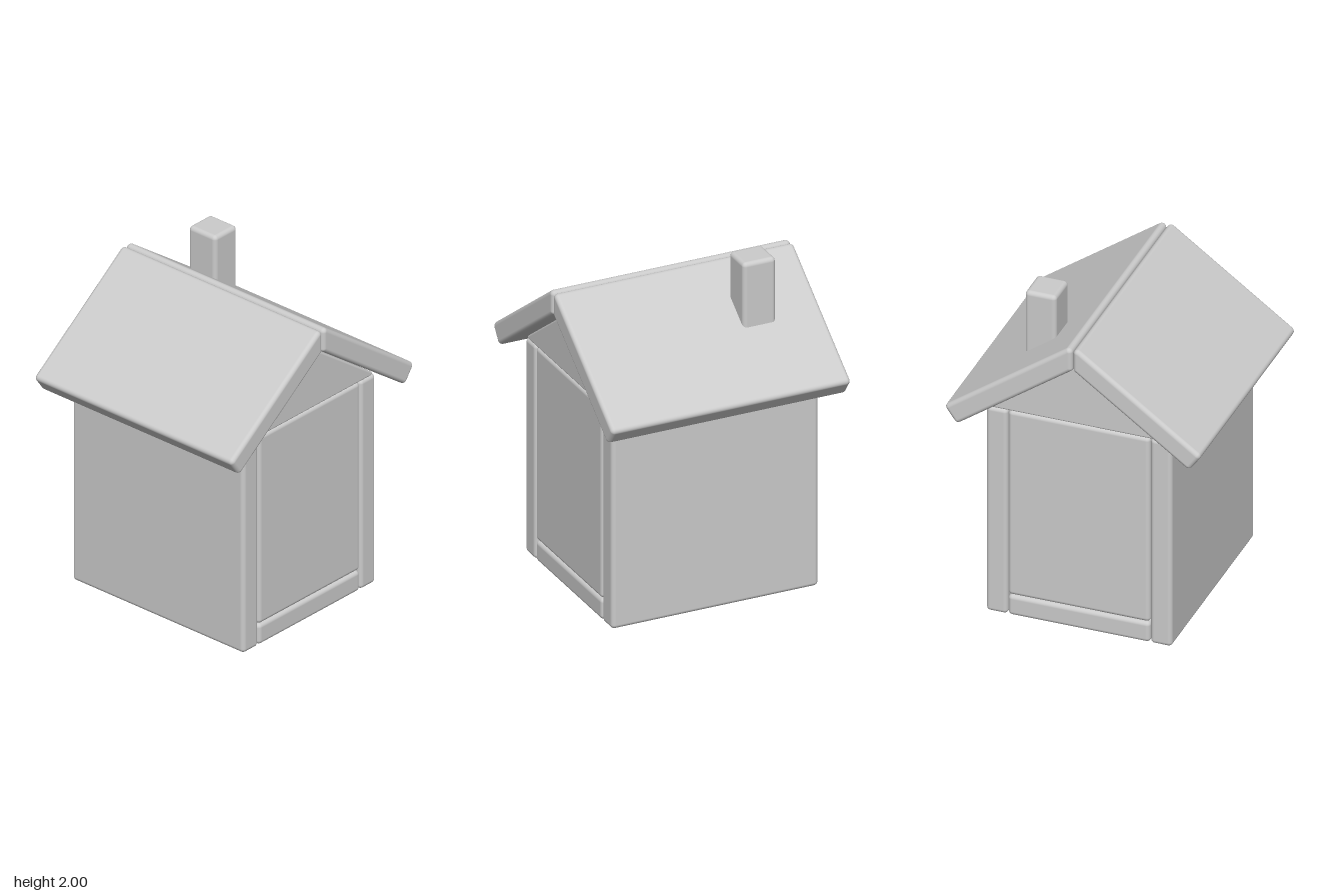
import * as THREE from 'three';
import { RoundedBoxGeometry } from 'three/addons/geometries/RoundedBoxGeometry.js';

const material = new THREE.MeshStandardMaterial({ color: 0xcccccc });

// Rounded box given by its [min, max] range on each axis
function box(name, [x0, x1], [y0, y1], [z0, z1], radius = 0.025) {
  const geometry = new RoundedBoxGeometry(x1 - x0, y1 - y0, z1 - z0, 4, radius);
  const mesh = new THREE.Mesh(geometry, material);
  mesh.position.set((x0 + x1) / 2, (y0 + y1) / 2, (z0 + z1) / 2);
  mesh.name = name;
  return mesh;
}

// Convex prism along x with all edges rounded; corners are counter-clockwise [z, y] pairs
function roundedPrism(name, corners, halfLength, r, steps = 5) {
  const points = corners.map(([u, v]) => new THREE.Vector2(u, v));
  const count = points.length;
  const normals = points.map((p, i) => {
    const e = points[(i + 1) % count].clone().sub(p).normalize();
    return new THREE.Vector2(e.y, -e.x);
  });

  // Outline: an arc of directions around each inset corner
  const outline = [];
  points.forEach((p, i) => {
    const n0 = normals[(i + count - 1) % count];
    const n1 = normals[i];
    const core = n0.clone().add(n1).multiplyScalar(-r / (1 + n0.dot(n1))).add(p);
    const turn = Math.acos(n0.dot(n1));
    for (let j = 0; j <= steps; j++) {
      const a = n0.angle() + (turn * j) / steps;
      outline.push({ core, dx: Math.cos(a), dy: Math.sin(a) });
    }
  });

  // Rings from one end to the other, rounded at both ends
  const position = [], normal = [], index = [];
  const m = outline.length;
  const rings = 2 * (steps + 1);
  for (let k = 0; k < rings; k++) {
    const far = k > steps;
    const phi = ((far ? k - steps - 1 : k - steps) / steps) * Math.PI / 2;
    const c = Math.cos(phi), s = Math.sin(phi);
    const z = (far ? 1 : -1) * (halfLength - r) + r * s;
    for (const { core, dx, dy } of outline) {
      position.push(core.x + r * c * dx, core.y + r * c * dy, z);
      normal.push(c * dx, c * dy, s);
    }
  }
  for (let k = 0; k < rings - 1; k++) {
    for (let i = 0; i < m; i++) {
      const a = k * m + i, b = k * m + ((i + 1) % m);
      index.push(a, b, b + m, a, b + m, a + m);
    }
  }
  // Flat end caps
  const last = (rings - 1) * m;
  for (let i = 1; i < m - 1; i++) {
    index.push(0, i + 1, i, last, last + i, last + i + 1);
  }

  const geometry = new THREE.BufferGeometry();
  geometry.setAttribute('position', new THREE.Float32BufferAttribute(position, 3));
  geometry.setAttribute('normal', new THREE.Float32BufferAttribute(normal, 3));
  geometry.setIndex(index);
  geometry.rotateY(-Math.PI / 2);
  const mesh = new THREE.Mesh(geometry, material);
  mesh.name = name;
  return mesh;
}

export function createModel() {
  const house = new THREE.Group();
  house.name = 'house';
  const width = [-0.637, 0.637];
  const inner = [-0.422, 0.422];

  // Walls and floor
  house.add(
    box('frontWall', width, [0, 1.325], [0.424, 0.552]),
    box('backWall', width, [0, 1.325], [-0.552, -0.424]),
    box('leftWall', [0.507, 0.637], [0.132, 1.325], inner),
    box('rightWall', [-0.637, -0.507], [0.132, 1.325], inner),
    box('floor', width, [0, 0.13], inner)
  );

  // Triangular gable block under the roof
  house.add(roundedPrism('gable', [[-0.55, 1.325], [0.55, 1.325], [0, 1.72]], 0.637, 0.012));

  // Two roof slabs, mitred at the ridge
  const slab = [[0.002, 1.725], [0.69, 1.23], [0.766, 1.335], [0.002, 1.886]];
  const mirrored = slab.map(([z, y]) => [-z, y]).reverse();
  house.add(
    roundedPrism('frontRoof', slab, 0.737, 0.025),
    roundedPrism('backRoof', mirrored, 0.737, 0.025)
  );

  // Chimney
  house.add(box('chimney', [-0.452, -0.25], [1.5, 2], [-0.393, -0.207]));
  return house;
}
